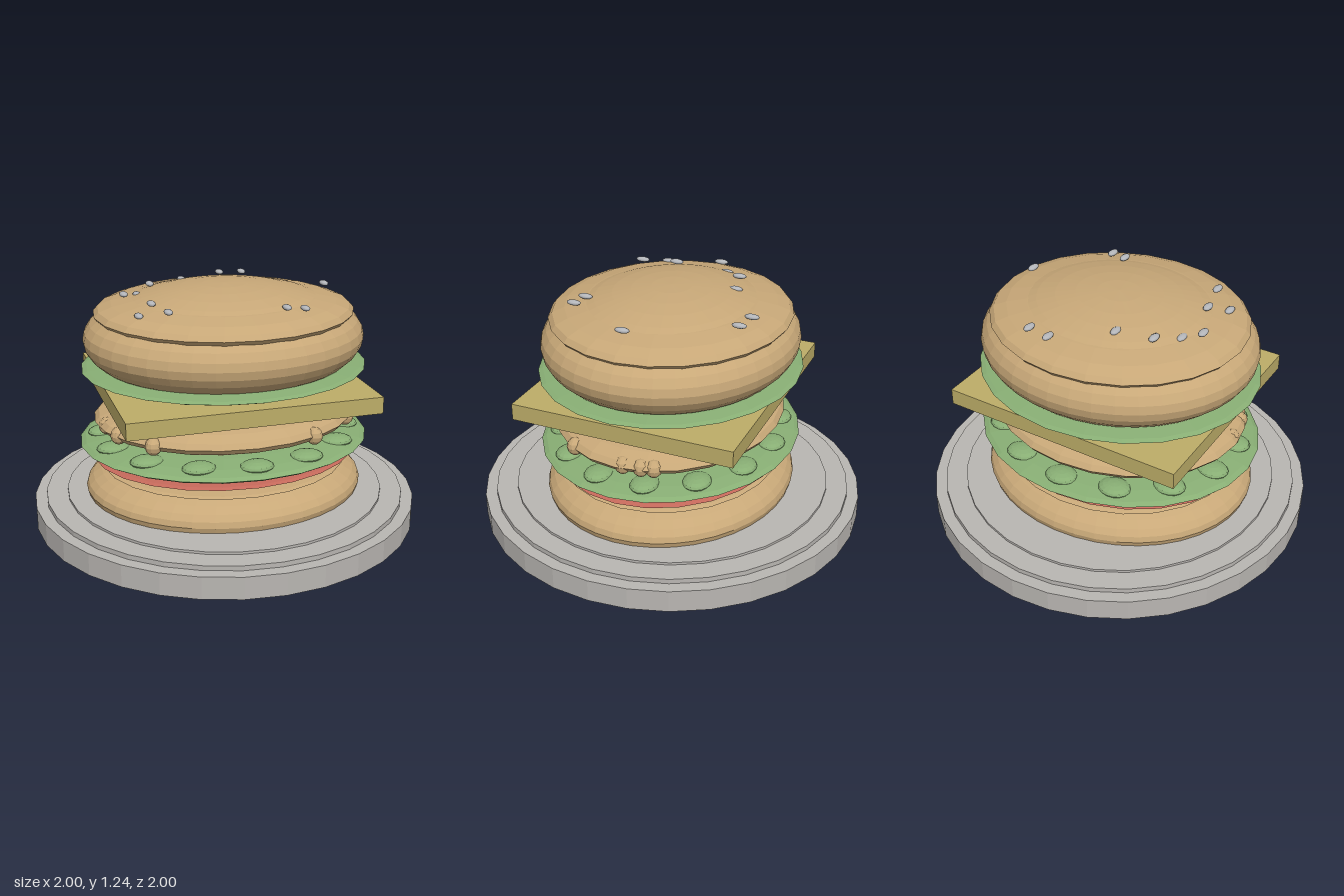
import * as THREE from 'three';

const paint = (name, color, flatShading = true) => {
  const m = new THREE.MeshStandardMaterial({ color, flatShading });
  m.name = name;
  return m;
};

export function createModel() {
  const burger = new THREE.Group();
  burger.name = 'burger';

  const bread = paint('bread tan', 0xc8a878);
  const green = paint('lettuce green', 0x88ae74);
  const red = paint('tomato red', 0xc4685a);
  const yellow = paint('cheese yellow', 0xbdad68);
  const grey = paint('plate grey', 0xb9b6b2);
  const seedGrey = paint('seed grey', 0xb4b6ba, false);

  const add = (name, geometry, material, x, y, z, parent = burger) => {
    const mesh = new THREE.Mesh(geometry, material);
    mesh.name = name;
    mesh.position.set(x, y, z);
    parent.add(mesh);
    return mesh;
  };
  // Squashed sphere, the base of every round layer
  const blob = (name, material, [x, y, z], [rx, ry, rz], segments = 24, parent = burger) => {
    const g = new THREE.SphereGeometry(1, segments, segments / 2).scale(rx, ry, rz);
    return add(name, g, material, x, y, z, parent);
  };

  // Stepped plate
  const plate = new THREE.Group();
  plate.name = 'plate';
  burger.add(plate);
  [[1, 0.01, 0.125], [0.94, 0.12, 0.15], [0.83, 0.14, 0.163]].forEach(([r, y0, y1], i) =>
    add(`plateTier${i + 1}`, new THREE.CylinderGeometry(r, r, y1 - y0, 32), grey, 0, (y0 + y1) / 2, 0, plate));

  // Lower layers
  blob('bottomBun', bread, [0, 0.19, 0], [0.73, 0.19, 0.64], 40);
  blob('sauceLayer', bread, [0, 0.31, 0], [0.64, 0.028, 0.57]);
  blob('tomato', red, [0, 0.367, 0], [0.69, 0.03, 0.59]);
  blob('lowerLettuce', green, [0, 0.44, 0], [0.755, 0.055, 0.66]);

  // Ruffles around the lower lettuce
  const ruffles = new THREE.Group();
  ruffles.name = 'lettuceRuffles';
  burger.add(ruffles);
  for (let i = 0; i < 14; i++) {
    const a = (i / 14) * Math.PI * 2;
    blob('ruffle', green, [0.63 * Math.sin(a), 0.465, 0.55 * Math.cos(a)], [0.085, 0.03, 0.07], 16, ruffles);
  }

  // Patty with lumps on its rim
  blob('patty', bread, [0, 0.565, 0], [0.68, 0.105, 0.575]);
  const lumps = new THREE.Group();
  lumps.name = 'pattyLumps';
  burger.add(lumps);
  [[0.57, 0.27], [0.635, -0.02], [0.625, -0.11], [0.61, -0.17], [0.32, 0.48],
    [-0.63, 0.05], [-0.6, 0.2], [-0.47, 0.39]].forEach(([x, z]) =>
    blob('lump', bread, [x, 0.56, z], [0.042, 0.045, 0.042], 12, lumps));

  // Cheese slice and upper lettuce
  add('cheese', new THREE.BoxGeometry(1.275, 0.085, 1.15), yellow, 0, 0.718, 0);
  blob('upperLettuce', green, [0, 0.827, 0], [0.735, 0.035, 0.665]);

  // Top bun: full body and a thin crust cap
  blob('topBun', bread, [0, 0.975, 0], [0.72, 0.268, 0.645], 40);
  blob('crustCap', bread, [0, 1.107, 0], [0.665, 0.1, 0.605]);

  // Scattered seeds
  const seeds = new THREE.Group();
  seeds.name = 'seeds';
  burger.add(seeds);
  [[0.11, 1.19, -0.46], [0.23, 1.19, -0.44], [-0.15, 1.208, -0.28], [-0.33, 1.205, -0.235],
    [-0.5, 1.2, -0.07], [-0.42, 1.18, -0.13], [-0.41, 1.2, 0.15], [-0.49, 1.165, 0.23],
    [-0.37, 1.2, 0.33], [0.2, 1.193, 0.38], [0.285, 1.188, 0.4], [0.53, 1.208, 0.02]].forEach((p) =>
    blob('seed', seedGrey, p, [0.021, 0.013, 0.038], 12, seeds));

  return burger;
}
